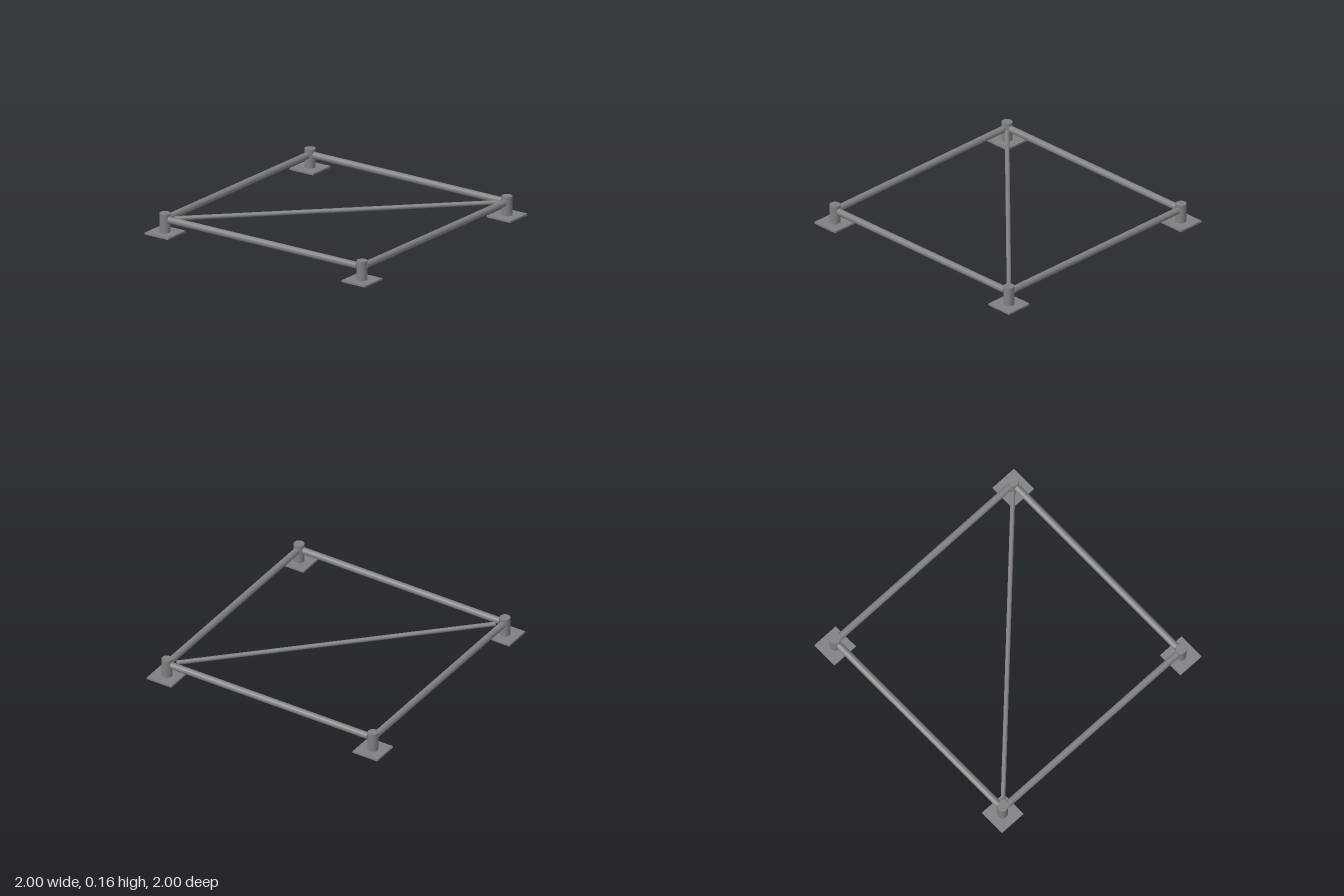
import * as THREE from 'three';

export function createModel() {
  const model = new THREE.Group();
  model.name = 'groundFrame';
  const steel = new THREE.MeshStandardMaterial({ color: 0x808084 });
  steel.name = 'greySteel';

  const corner = 0.893, plateSize = 0.214, plateThick = 0.014;
  const postRadius = 0.04, postTop = 0.16, railY = 0.112;

  const add = (geometry, name, parent = model) => {
    const mesh = new THREE.Mesh(geometry, steel);
    mesh.name = name;
    parent.add(mesh);
    return mesh;
  };

  // Horizontal tube of a given length, turned about the vertical axis
  const tube = (radius, length, x, z, turn, name) => {
    const geometry = new THREE.CylinderGeometry(radius, radius, length, 24);
    geometry.rotateZ(Math.PI / 2).rotateY(turn);
    add(geometry, name).position.set(x, railY, z);
  };

  // Corner feet: square base plate with an upright post
  for (const [x, side] of [[-1, 'Right'], [1, 'Left']]) {
    for (const [z, end] of [[-1, 'back'], [1, 'front']]) {
      const foot = new THREE.Group();
      foot.name = end + side + 'Foot';
      foot.position.set(x * corner, 0, z * corner);
      add(new THREE.BoxGeometry(plateSize, plateThick, plateSize), 'basePlate', foot).position.y = plateThick / 2;
      const height = postTop - plateThick;
      add(new THREE.CylinderGeometry(postRadius, postRadius, height, 24), 'post', foot).position.y = plateThick + height / 2;
      model.add(foot);
    }
  }

  // Four rails between the posts
  const railLength = 2 * (corner - postRadius);
  tube(0.026, railLength, 0, corner, 0, 'frontRail');
  tube(0.026, railLength, 0, -corner, 0, 'backRail');
  tube(0.026, railLength, corner, 0, Math.PI / 2, 'leftRail');
  tube(0.026, railLength, -corner, 0, Math.PI / 2, 'rightRail');

  // Thin brace from the front right corner to the back left corner
  tube(0.017, 2 * 0.842 * Math.SQRT2, 0, 0, Math.PI / 4, 'diagonalBrace');

  return model;
}
